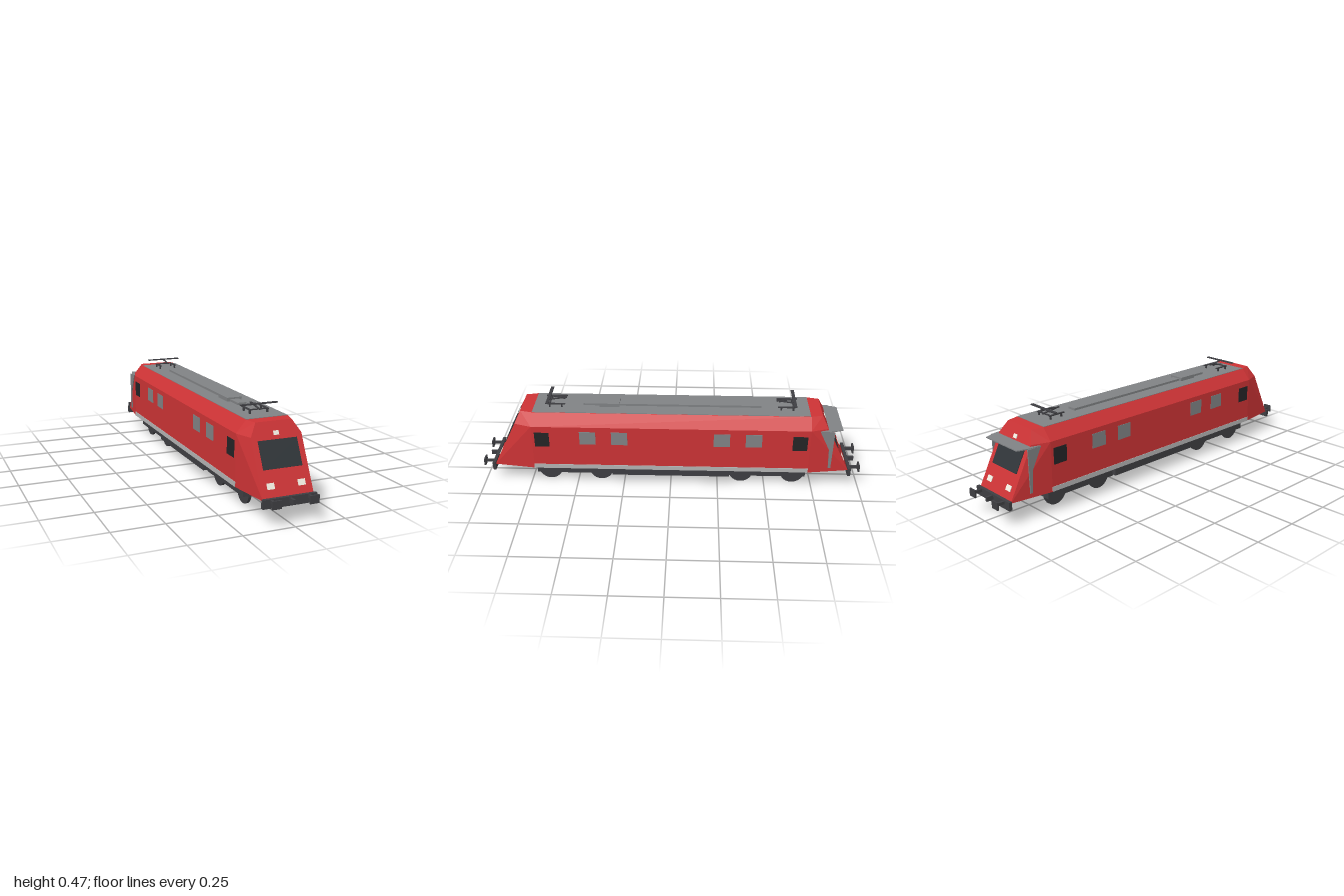
import * as THREE from 'three';
import { ConvexGeometry } from 'three/addons/geometries/ConvexGeometry.js';

const paint = (color) => new THREE.MeshStandardMaterial({ color, flatShading: true });
const RED = paint(0xcc3335), DARK = paint(0x3e3e42), GLASS = paint(0x2f3438), BLACK = paint(0x242426),
  GREY = paint(0x808284), LIGHT = paint(0xb4b4b4), LAMP = paint(0xf0ece0);

// Nose face line: foot (y, z) and slope
const FOOT_Y = 0.11, FOOT_Z = 0.935, TOP_Y = 0.418, TOP_Z = 0.78;
const SLOPE = (FOOT_Z - TOP_Z) / (TOP_Y - FOOT_Y);
const noseZ = (y) => FOOT_Z - (y - FOOT_Y) * SLOPE;

export function createModel() {
  const model = new THREE.Group();
  model.name = 'locomotive';

  const add = (parent, name, geometry, material, x = 0, y = 0, z = 0) => {
    const mesh = new THREE.Mesh(geometry, material);
    mesh.name = name;
    mesh.position.set(x, y, z);
    parent.add(mesh);
    return mesh;
  };
  const box = (parent, name, material, w, h, d, x, y, z) =>
    add(parent, name, new THREE.BoxGeometry(w, h, d), material, x, y, z);

  // Body shell: straight middle section with faceted, tapering noses
  const points = [];
  for (const sx of [-1, 1]) for (const sz of [-1, 1]) {
    for (const [x, y] of [[0.155, FOOT_Y], [0.155, 0.36], [0.105, TOP_Y]])
      points.push(new THREE.Vector3(sx * x, y, sz * 0.72));
    for (const [x, y] of [[0.125, FOOT_Y], [0.125, 0.36], [0.09, TOP_Y]])
      points.push(new THREE.Vector3(sx * x, y, sz * noseZ(y)));
  }
  add(model, 'bodyShell', new ConvexGeometry(points), RED);

  // Roof
  box(model, 'roofPanel', GREY, 0.208, 0.004, 1.435, 0, 0.418, 0);
  box(model, 'roofDuct', GREY, 0.046, 0.012, 0.93, 0, 0.425, -0.005);
  box(model, 'roofUnit', GREY, 0.078, 0.02, 0.105, 0, 0.429, 0.322);

  // Underframe
  box(model, 'underframe', DARK, 0.276, 0.047, 0.62, 0, 0.0865, 0);

  // Sides: sill stripes and windows
  for (const s of [-1, 1]) {
    box(model, 'sillStripe', LIGHT, 0.006, 0.024, 1.44, s * 0.1545, 0.123, 0);
    for (const e of [-1, 1]) {
      box(model, 'cabWindow', BLACK, 0.004, 0.082, 0.076, s * 0.155, 0.285, e * 0.668);
      for (const z of [0.265, 0.43])
        box(model, 'sideWindow', GREY, 0.004, 0.074, 0.084, s * 0.155, 0.297, e * z);
    }
  }

  // Panel lying flush on the sloping nose
  const nosePanel = (parent, name, material, x, y0, y1, w) => {
    const angle = Math.atan(SLOPE), y = (y0 + y1) / 2;
    const panel = box(parent, name, material, w, (y1 - y0) / Math.cos(angle), 0.006, x, y, noseZ(y));
    panel.rotation.x = -angle;
  };

  const addBogie = (end) => {
    const bogie = new THREE.Group();
    bogie.name = 'bogie';
    end.add(bogie);
    box(bogie, 'bogieFrame', DARK, 0.226, 0.045, 0.41, 0, 0.0775, 0.51);
    box(bogie, 'bogieMount', DARK, 0.1, 0.016, 0.12, 0, 0.105, 0.51);
    const wheel = new THREE.CylinderGeometry(0.063, 0.063, 0.014, 24).rotateZ(Math.PI / 2);
    for (const z of [0.375, 0.65]) {
      for (const s of [-1, 1]) add(bogie, 'wheel', wheel, DARK, s * 0.076, 0.063, z);
      box(bogie, 'axle', DARK, 0.15, 0.014, 0.014, 0, 0.063, z);
    }
  };

  const addPantograph = (end) => {
    const panto = new THREE.Group();
    panto.name = 'pantograph';
    end.add(panto);
    for (const s of [-1, 1]) {
      box(panto, 'baseRail', DARK, 0.01, 0.005, 0.09, s * 0.045, 0.438, 0.597);
      for (const z of [0.57, 0.633])
        box(panto, 'insulator', DARK, 0.008, 0.018, 0.008, s * 0.045, 0.427, z);
    }
    box(panto, 'baseCrossbar', DARK, 0.09, 0.005, 0.008, 0, 0.438, 0.633);
    const lower = box(panto, 'lowerArm', DARK, 0.008, 0.005, 0.1, 0, 0.446, 0.597);
    lower.rotation.x = 0.14;
    const upper = box(panto, 'upperArm', DARK, 0.008, 0.005, 0.1, 0, 0.457, 0.602);
    upper.rotation.x = -0.14;
    box(panto, 'contactBar', DARK, 0.188, 0.005, 0.016, 0, 0.464, 0.637);
  };

  // Each end: nose fittings, buffers, bogie and pantograph
  for (const turn of [0, Math.PI]) {
    const end = new THREE.Group();
    end.name = turn ? 'rearEnd' : 'frontEnd';
    end.rotation.y = turn;
    model.add(end);

    nosePanel(end, 'windscreen', GLASS, 0, 0.228, 0.343, 0.193);
    nosePanel(end, 'topLamp', LAMP, 0, 0.36, 0.378, 0.026);
    box(end, 'bufferBeam', DARK, 0.266, 0.042, 0.016, 0, 0.1, 0.942);
    box(end, 'coupler', DARK, 0.012, 0.022, 0.04, 0, 0.106, 0.965);
    for (const s of [-1, 1]) {
      nosePanel(end, 'headlamp', LAMP, s * 0.076, 0.151, 0.176, 0.036);
      box(end, 'bufferStem', DARK, 0.012, 0.014, 0.05, s * 0.092, 0.111, 0.97);
      box(end, 'bufferPlate', DARK, 0.046, 0.038, 0.008, s * 0.092, 0.111, 0.996);
    }
    addBogie(end);
    addPantograph(end);
  }

  // Rear cab surround: flat hood with tapering side plates
  const surround = new THREE.Group();
  surround.name = 'rearCabSurround';
  model.add(surround);
  const outline = (pts) => new THREE.Shape(pts.map(([a, b]) => new THREE.Vector2(a, b)));
  const hood = outline([[-0.146, 0.77], [0.146, 0.77], [0.142, 0.82], [0.122, 0.886], [-0.122, 0.886], [-0.142, 0.82]]);
  const hoodGeometry = new THREE.ExtrudeGeometry(hood, { depth: 0.005, bevelEnabled: false }).rotateX(-Math.PI / 2);
  add(surround, 'hood', hoodGeometry, GREY, 0, 0.348, 0);
  const plate = outline([[0.768, 0.35], [0.842, 0.35], [0.838, 0.135], [0.825, 0.135], [0.82, 0.245]]);
  const plateGeometry = new THREE.ExtrudeGeometry(plate, { depth: 0.005, bevelEnabled: false }).rotateY(Math.PI / 2);
  for (const s of [-1, 1]) add(surround, 'sidePlate', plateGeometry, GREY, s * 0.1435 - 0.0025, 0, 0);

  return model;
}
